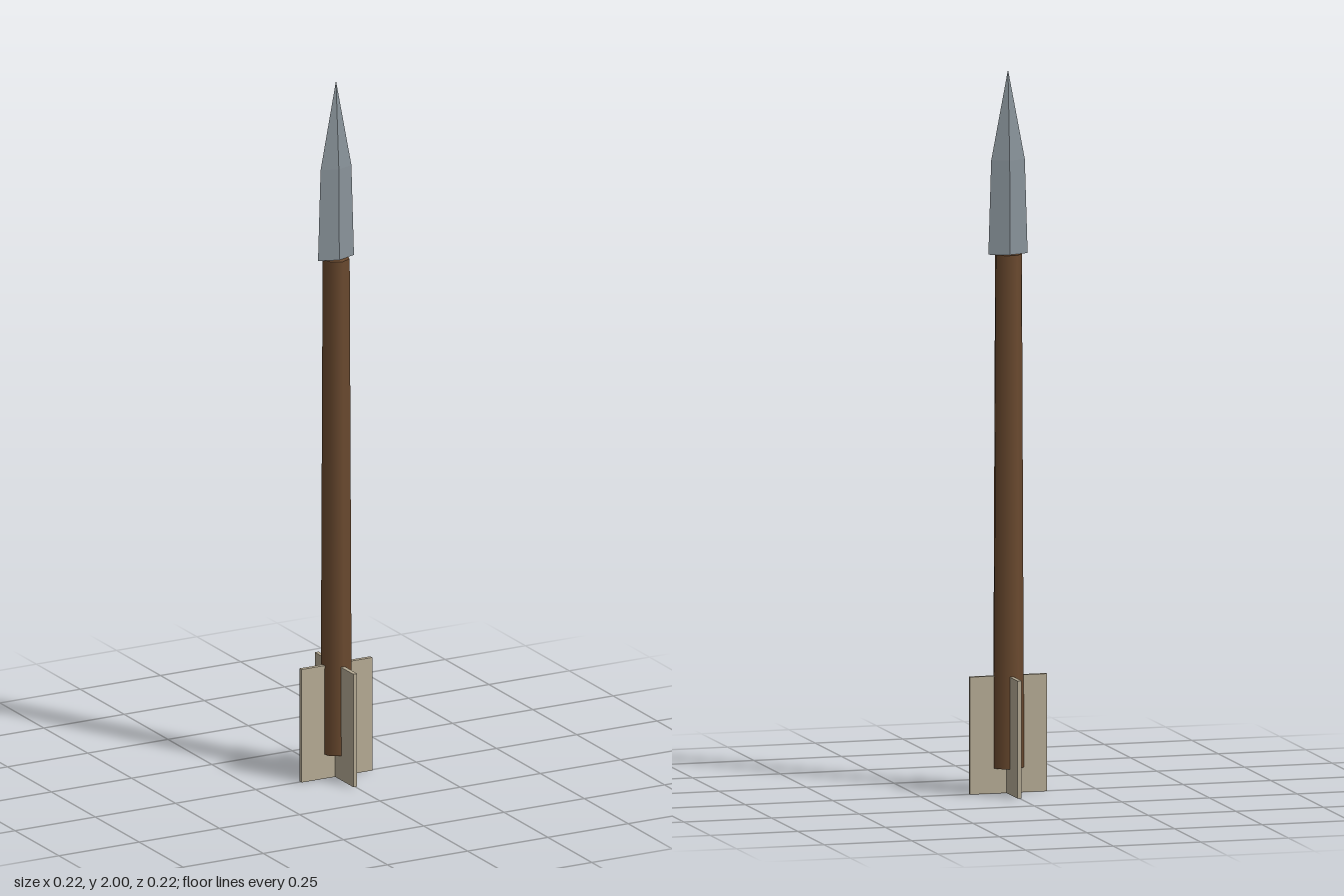
import * as THREE from 'three';

export function createModel() {
  const model = new THREE.Group();
  model.name = 'spearBolt';

  const wood = new THREE.MeshStandardMaterial({ color: 0x6b4a2f });
  const steel = new THREE.MeshStandardMaterial({ color: 0x8a949b, flatShading: true });
  const feather = new THREE.MeshStandardMaterial({ color: 0xb8ad96 });

  const add = (name, geometry, material, y) => {
    const mesh = new THREE.Mesh(geometry, material);
    mesh.name = name;
    mesh.position.y = y;
    model.add(mesh);
    return mesh;
  };

  // Seven-sided shaft, slightly thinner towards the head
  const shaftBottom = 0.07, shaftTop = 1.49;
  add('shaft', new THREE.CylinderGeometry(0.038, 0.044, shaftTop - shaftBottom, 7),
    wood, (shaftBottom + shaftTop) / 2);

  // Diamond-section head: a nearly straight base below a long point
  const shoulder = 1.75, depth = 0.34;
  const base = new THREE.CylinderGeometry(0.048, 0.056, shoulder - shaftTop, 4, 1, true);
  const point = new THREE.ConeGeometry(0.048, 2 - shoulder, 4, 1, true);
  const cap = new THREE.CircleGeometry(0.056, 4).rotateX(Math.PI / 2);
  for (const g of [base, point, cap]) g.scale(1, 1, depth);
  add('headBase', base, steel, (shaftTop + shoulder) / 2);
  add('headPoint', point, steel, (shoulder + 2) / 2);
  add('headUnderside', cap, steel, shaftTop);

  // Two crossed plates make the four fins
  for (let i = 0; i < 2; i++) {
    const fin = add('fin', new THREE.BoxGeometry(0.22, 0.325, 0.012), feather, 0.1625);
    fin.rotation.y = i * Math.PI / 2;
  }

  return model;
}
